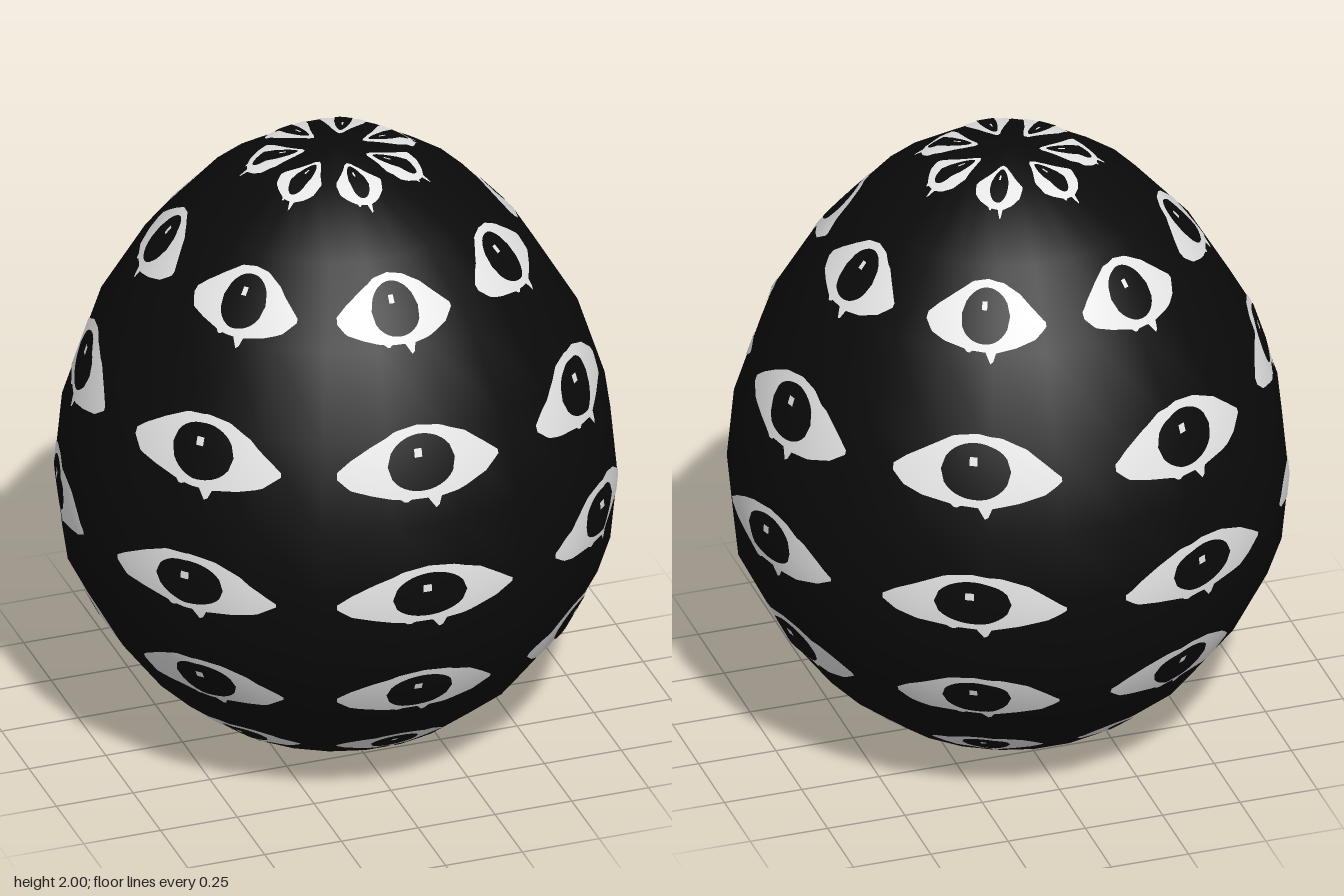
import * as THREE from 'three';
import { mergeGeometries } from 'three/addons/utils/BufferGeometryUtils.js';

// egg profile [radius, height], top to bottom
const PROFILE = [
  [0, 2], [0.22, 1.976], [0.433, 1.83], [0.615, 1.62], [0.757, 1.376], [0.842, 1.11], [0.864, 0.878],
  [0.842, 0.65], [0.732, 0.43], [0.603, 0.257], [0.433, 0.115], [0.217, 0.024], [0, 0],
];
const SIDES = 24, STEP = (Math.PI * 2) / SIDES, EYES = 7;
const lerp = THREE.MathUtils.lerp;

// outward profile normal [radial, y] at each ring
const NORMALS = PROFILE.map((p, i) => {
  if (i === 0) return [0, 1];
  if (i === PROFILE.length - 1) return [0, -1];
  const a = PROFILE[i - 1], b = PROFILE[i + 1];
  const l = Math.hypot(a[1] - b[1], b[0] - a[0]);
  return [(a[1] - b[1]) / l, (b[0] - a[0]) / l];
});

// point and normal on the faceted shell at angle phi and ring position t
function onShell(phi, t, lift) {
  const i = Math.min(Math.floor(t), PROFILE.length - 2), f = t - i;
  const r = lerp(PROFILE[i][0], PROFILE[i + 1][0], f);
  const y = lerp(PROFILE[i][1], PROFILE[i + 1][1], f);
  const nr = lerp(NORMALS[i][0], NORMALS[i + 1][0], f);
  const ny = lerp(NORMALS[i][1], NORMALS[i + 1][1], f);
  const s = phi / STEP + 0.5, k = Math.floor(s), g = s - k;
  const a0 = (k - 0.5) * STEP, a1 = (k + 0.5) * STEP;
  const n = new THREE.Vector3(Math.sin(phi) * nr, ny, Math.cos(phi) * nr).normalize();
  const p = new THREE.Vector3(
    r * lerp(Math.sin(a0), Math.sin(a1), g), y, r * lerp(Math.cos(a0), Math.cos(a1), g));
  return { p: p.addScaledVector(n, lift), n };
}

// piecewise-linear curve through [x, value] points
const curve = (pts) => (x) => {
  let i = 0;
  while (i < pts.length - 2 && x > pts[i + 1][0]) i++;
  const [x0, v0] = pts[i], [x1, v1] = pts[i + 1];
  return lerp(v0, v1, (x - x0) / (x1 - x0));
};

// thin plate hugging the shell between a lower and an upper curve
function plate(phi0, t0, { half, lower, upper, cols, rows, lift }) {
  const pos = [], nor = [], idx = [];
  for (let j = 0; j <= rows; j++) {
    for (let i = 0; i <= cols; i++) {
      const a = (2 * i) / cols - 1;
      const { p, n } = onShell(phi0 + a * half, t0 - lerp(lower(a), upper(a), j / rows), lift);
      pos.push(p.x, p.y, p.z);
      nor.push(n.x, n.y, n.z);
      if (i < cols && j < rows) {
        const q = j * (cols + 1) + i, u = q + cols + 1;
        idx.push(q, q + 1, u, q + 1, u + 1, u);
      }
    }
  }
  const g = new THREE.BufferGeometry();
  g.setAttribute('position', new THREE.Float32BufferAttribute(pos, 3));
  g.setAttribute('normal', new THREE.Float32BufferAttribute(nor, 3));
  g.setIndex(idx);
  return g;
}

const deg = THREE.MathUtils.degToRad;
const round = (a) => Math.sqrt(Math.max(0, 1 - a * a));

// almond with two drips under the lower lid
const WHITE = {
  half: deg(19.4), cols: 50, rows: 8, lift: 0.003,
  upper: curve([[-1, -0.04], [-0.85, 0.08], [-0.6, 0.23], [-0.3, 0.38], [0, 0.42],
    [0.3, 0.38], [0.6, 0.25], [0.85, 0.05], [1, -0.08]]),
  lower: curve([[-1, -0.12], [-0.85, -0.25], [-0.6, -0.32], [-0.26, -0.39], [-0.22, -0.45], [-0.18, -0.4],
    [0.06, -0.41], [0.1, -0.53], [0.15, -0.53], [0.2, -0.41], [0.5, -0.36], [0.8, -0.27], [1, -0.13]]),
};
const IRIS = {
  half: deg(8), cols: 18, rows: 8, lift: 0.0052,
  upper: (a) => 0.32 * round(a), lower: (a) => -0.32 * round(a),
};
const GLINT = {
  half: deg(0.9), cols: 2, rows: 2, lift: 0.0075,
  upper: () => 0.16, lower: () => 0.06,
};

export function createModel() {
  const black = new THREE.MeshStandardMaterial({ color: 0x0a0a0a });
  black.name = 'black';
  const white = new THREE.MeshStandardMaterial({ color: 0xf0f0f0 });
  white.name = 'white';

  const group = new THREE.Group();
  group.name = 'eyeEgg';
  const add = (name, geometry, material) => {
    const mesh = new THREE.Mesh(geometry, material);
    mesh.name = name;
    group.add(mesh);
  };

  // shell
  const points = PROFILE.map(([r, y]) => new THREE.Vector2(r, y)).reverse();
  add('eggShell', new THREE.LatheGeometry(points, SIDES, STEP / 2), black);

  // seven rings of seven eyes
  const whites = [], irises = [], glints = [];
  for (let row = 0; row < EYES; row++) {
    const t = ((row + 0.5) * (PROFILE.length - 1)) / EYES;
    for (let k = 0; k < EYES; k++) {
      const phi = (k * Math.PI * 2) / EYES;
      whites.push(plate(phi, t, WHITE));
      irises.push(plate(phi, t, IRIS));
      glints.push(plate(phi - deg(0.6), t, GLINT));
    }
  }
  add('eyeWhites', mergeGeometries(whites), white);
  add('irises', mergeGeometries(irises), black);
  add('eyeGlints', mergeGeometries(glints), white);
  return group;
}
